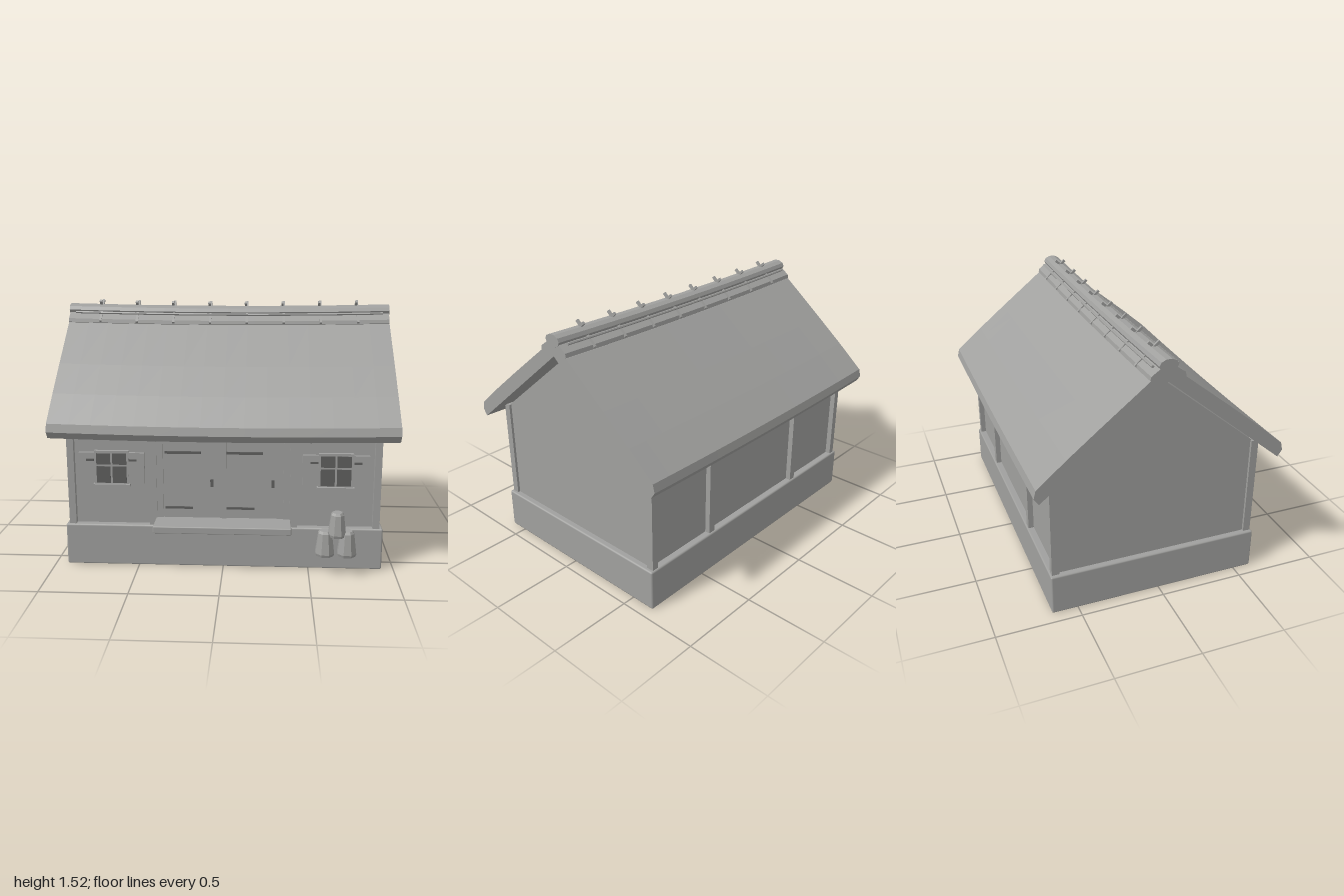
import * as THREE from 'three';
import { RoundedBoxGeometry } from 'three/addons/geometries/RoundedBoxGeometry.js';

const MID = -0.022; // z of the ridge

export function createModel() {
  const house = new THREE.Group();
  house.name = 'cottage';
  const plaster = new THREE.MeshStandardMaterial({ color: 0xa0a09e });
  plaster.name = 'paleGrey';
  const dark = new THREE.MeshStandardMaterial({ color: 0x5f5f5e });
  dark.name = 'darkGrey';

  const add = (name, geo, mat = plaster, parent = house) => {
    const mesh = new THREE.Mesh(geo, mat);
    mesh.name = name;
    parent.add(mesh);
    return mesh;
  };
  // Box given by its limits on each axis
  const box = (name, x0, x1, y0, y1, z0, z1, mat, parent) => {
    const m = add(name, new THREE.BoxGeometry(x1 - x0, y1 - y0, z1 - z0), mat, parent);
    m.position.set((x0 + x1) / 2, (y0 + y1) / 2, (z0 + z1) / 2);
    return m;
  };
  const faceted = (geo) => {
    const g = geo.toNonIndexed();
    g.computeVertexNormals();
    return g;
  };
  // Gentle sag along the length of the roof
  const sag = (geo) => {
    const p = geo.attributes.position;
    for (let i = 0; i < p.count; i++) {
      p.setY(i, p.getY(i) - 0.013 * (1 - p.getX(i) ** 2));
    }
    geo.computeVertexNormals();
    return geo;
  };
  // Profile of [z, y] points drawn out along x
  const alongX = (points, half, steps = 1) => {
    const shape = new THREE.Shape(points.map(([z, y]) => new THREE.Vector2(z, y)));
    const geo = new THREE.ExtrudeGeometry(shape, { depth: half * 2, steps, bevelEnabled: false });
    return geo.rotateY(-Math.PI / 2).translate(half, 0, 0);
  };
  // Mirror a half profile (distance from the ridge, y) to both slopes
  const bothSlopes = (outer, inner) => {
    const flip = (pts) => pts.map(([d, y]) => [MID - d, y]);
    const front = (pts) => pts.map(([d, y]) => [MID + d, y]);
    return [...front(outer), ...flip([...outer].reverse()).slice(1),
      ...flip(inner), ...front([...inner].reverse()).slice(1)];
  };

  // Foundation
  add('foundation', new RoundedBoxGeometry(1.86, 0.25, 1.265, 1, 0.01)).position.set(0, 0.125, MID);

  // Walls with gables
  add('walls', alongX([[MID - 0.59, 0.25], [MID + 0.59, 0.25], [MID + 0.59, 0.865],
    [MID, 1.35], [MID - 0.59, 0.865]], 0.895));

  // Posts on both long sides
  for (const side of [1, -1]) {
    for (const x of [-0.89, -0.41, 0.41, 0.89]) {
      const w = Math.abs(x) > 0.8 ? 0.04 : 0.045;
      box('post', x - w / 2, x + w / 2, 0.25, 0.868,
        MID + side * 0.6 - 0.022, MID + side * 0.6 + 0.022);
    }
  }

  // Thatched roof
  add('roof', sag(alongX(bothSlopes(
    [[0.7, 0.79], [0.727, 0.83], [0.715, 0.878], [0.55, 1.02], [0.37, 1.167], [0.1, 1.383], [0, 1.445]],
    [[0.7, 0.79], [0, 1.37]]
  ).filter((p, i, a) => i === 0 || p[0] !== a[i - 1][0] || p[1] !== a[i - 1][1]).slice(0, -1), 0.995, 16)));

  // Ridge cap boards under the ridge roll
  add('ridgeCap', sag(alongX(bothSlopes(
    [[0.1, 1.388], [0.095, 1.41], [0, 1.478]], [[0.09, 1.38], [0, 1.43]]), 0.995, 12)));

  // Ridge roll and the thin poles that hold the thatch
  const roll = new THREE.CylinderGeometry(1, 1, 1.998, 10, 10).rotateZ(Math.PI / 2);
  roll.scale(1, 0.036, 0.054);
  add('ridgeRoll', sag(faceted(roll.translate(0, 1.46, MID))));
  for (const side of [1, -1]) {
    const pole = new THREE.CylinderGeometry(0.008, 0.008, 1.91, 6, 10).rotateZ(Math.PI / 2);
    add('ridgePole', sag(faceted(pole.translate(0, 1.447, MID + side * 0.07))));
  }

  // Crossed pegs over the ridge
  for (let i = 0; i < 8; i++) {
    const x = -0.8 + i * 0.2285;
    for (const side of [1, -1]) {
      const peg = add('ridgePeg', new THREE.BoxGeometry(0.014, 0.182, 0.016));
      peg.position.set(x + side * 0.004, 1.457 - 0.013 * (1 - x * x), MID + side * 0.036);
      peg.rotation.x = -side * 0.83;
    }
  }

  // Double door with frame, hinges and handles
  const door = new THREE.Group();
  door.name = 'door';
  house.add(door);
  for (const s of [-1, 1]) {
    const a = Math.min(s * 0.02, s * 0.35), b = Math.max(s * 0.02, s * 0.35);
    box('doorLeaf', a, b, 0.29, 0.79, 0.56, 0.58, plaster, door);
    box('doorJamb', s * 0.37 - 0.02, s * 0.37 + 0.02, 0.27, 0.83, 0.56, 0.592, plaster, door);
    const left = s < 0 ? -0.34 : 0.02;
    box('hingeStrap', left, left + 0.21, 0.682, 0.697, 0.58, 0.587, dark, door);
    box('hingeStrap', left, left + 0.162, 0.348, 0.361, 0.58, 0.587, dark, door);
    const hx = s < 0 ? -0.066 : 0.289;
    box('doorHandle', hx - 0.009, hx + 0.009, 0.488, 0.53, 0.58, 0.594, dark, door);
  }
  box('doorMullion', -0.018, 0.018, 0.27, 0.83, 0.56, 0.592, plaster, door);
  box('doorLintel', -0.39, 0.39, 0.79, 0.83, 0.56, 0.591, plaster, door);

  // Doorstep
  add('doorstep', new RoundedBoxGeometry(0.79, 0.042, 0.17, 1, 0.006)).position.set(0, 0.274, 0.663);

  // Windows with open shutters
  for (const cx of [-0.652, 0.65]) {
    const win = new THREE.Group();
    win.name = 'window';
    win.position.x = cx;
    house.add(win);
    box('windowFrame', -0.1, 0.1, 0.497, 0.695, 0.56, 0.59, plaster, win);
    box('windowSill', -0.108, 0.108, 0.483, 0.497, 0.56, 0.608, plaster, win);
    for (const s of [-1, 1]) {
      box('shutter', s * 0.146 - 0.046, s * 0.146 + 0.046, 0.5, 0.683, 0.56, 0.588, plaster, win);
      box('shutterHinge', s * 0.125 - 0.023, s * 0.125 + 0.023, 0.634, 0.646, 0.588, 0.594, dark, win);
      box('pane', s * 0.047 - 0.041, s * 0.047 + 0.041, 0.502, 0.602, 0.59, 0.592, dark, win);
      box('pane', s * 0.047 - 0.041, s * 0.047 + 0.041, 0.613, 0.68, 0.59, 0.592, dark, win);
    }
  }

  // Stacked upturned buckets with chamfered ends
  for (const [x, y, z, r, h] of [[0.59, 0.118, 0.683, 0.058, 0.15],
    [0.716, 0.118, 0.683, 0.058, 0.15], [0.657, 0.236, 0.69, 0.054, 0.144]]) {
    const profile = [[0, 0], [r * 0.9, 0], [r, 0.016], [r * 0.72, h - 0.014], [r * 0.55, h], [0, h]];
    const geo = new THREE.LatheGeometry(profile.map(([a, b]) => new THREE.Vector2(a, b)), 8);
    add('bucket', faceted(geo.rotateY(Math.PI / 8))).position.set(x, y, z);
  }
  return house;
}
